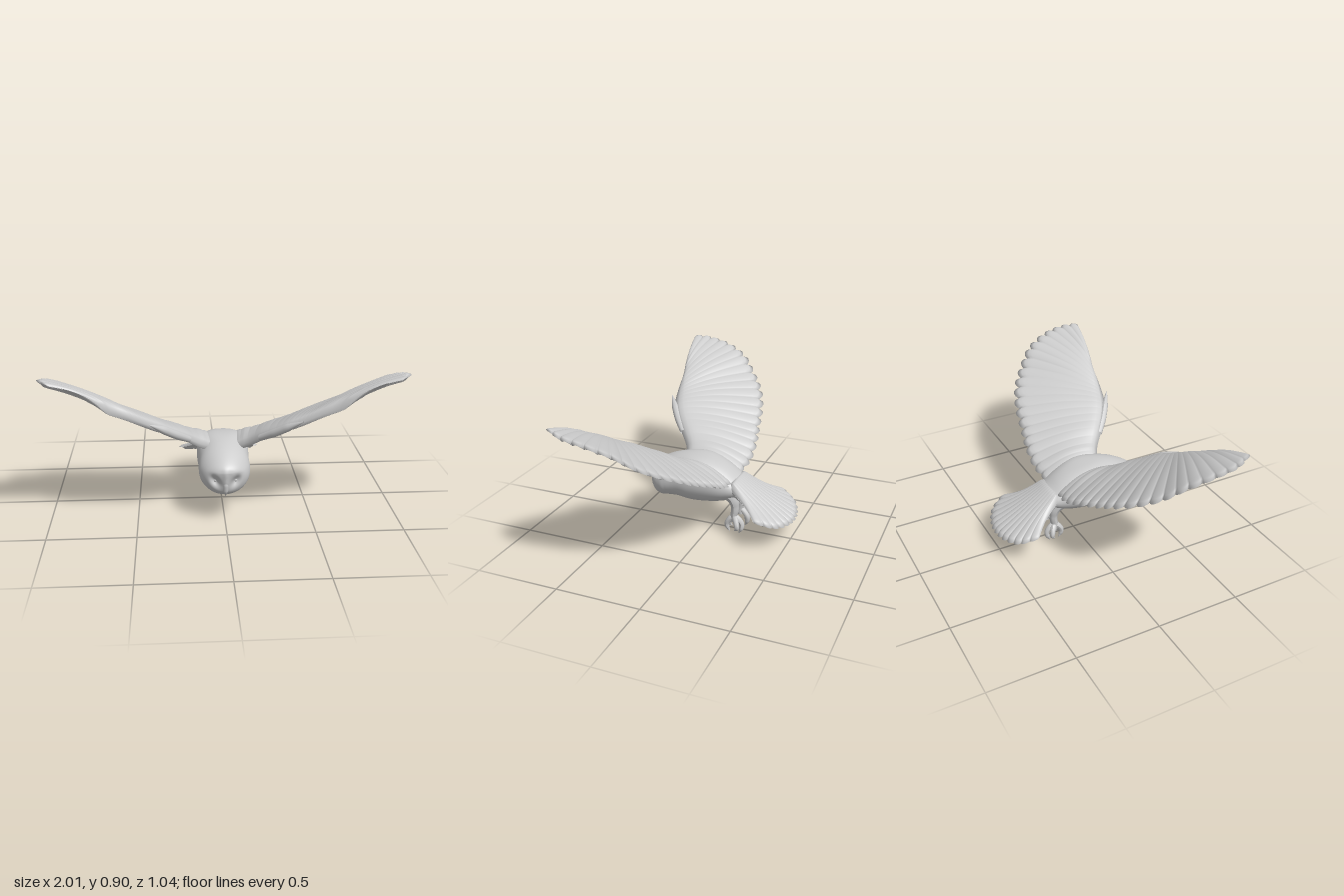
import * as THREE from 'three';

const material = new THREE.MeshStandardMaterial({ color: 0xcccccc, side: THREE.DoubleSide });
const V = (p) => new THREE.Vector3(...p);
const curve = (pts) => new THREE.CatmullRomCurve3(pts.map(V));

function part(name, geometry) {
  const m = new THREE.Mesh(geometry, material);
  m.name = name;
  return m;
}

// Smooth skin over a grid of points, closed around v
function skin(nu, nv, point) {
  const pos = [], idx = [];
  for (let i = 0; i <= nu; i++) {
    for (let j = 0; j < nv; j++) {
      pos.push(...point(i / nu, j));
      if (i === nu) continue;
      const k = (j + 1) % nv, a = i * nv, b = a + nv;
      idx.push(a + j, b + j, a + k, b + j, b + k, a + k);
    }
  }
  const g = new THREE.BufferGeometry();
  g.setAttribute('position', new THREE.Float32BufferAttribute(pos, 3));
  g.setIndex(idx);
  g.computeVertexNormals();
  return g;
}

// Mirror a geometry across x and restore its winding
function mirror(geometry) {
  const g = geometry.clone().scale(-1, 1, 1);
  const ix = g.index.array;
  for (let i = 0; i < ix.length; i += 3) [ix[i], ix[i + 1]] = [ix[i + 1], ix[i]];
  g.computeVertexNormals();
  return g;
}

// Fan of merged feathers running from the root curve to the tip curve
function featherFan({ roots, tips, feathers, reach = 1, thick, topShare = 1, scallop, ripple, camber = 0, shoulder = 0, waist = 0 }) {
  const A = curve(roots), B = curve(tips), nt = 20;
  return skin(feathers * 12, nt * 2, (u, j) => {
    const top = j <= nt;
    const t = (top ? j : 2 * nt - j) / nt;
    const s = Math.pow(Math.abs(Math.sin(Math.PI * feathers * u)), 0.6);
    const r = t * reach * (1 - scallop * (1 - s) * t * t);
    const p = A.getPoint(u).lerp(B.getPoint(u), r);
    p.x *= 1 - waist * Math.sin(Math.PI * r);
    const lead = Math.sqrt(1 - (1 - Math.min(t / 0.15, 1)) ** 2);
    const trail = Math.sqrt(1 - Math.max(0, (t - 0.9) / 0.1) ** 2);
    const side = Math.sqrt(Math.min(1, 14 * Math.min(u, 1 - u)));
    const h = THREE.MathUtils.lerp(thick[0], thick[1], Math.sqrt(t)) * lead * trail * side / 2;
    const y = p.y + camber * Math.min(1, 5 * u) * Math.sin(Math.PI * Math.pow(r, 0.75));
    const wave = ripple * t * (s - 0.5);
    // The upper side is smoother and swells where it meets the back
    if (top) return [p.x, y + 0.5 * wave + h * topShare + shoulder * Math.exp(-((u / 0.14) ** 2)) * Math.sin(Math.PI * r), p.z];
    return [p.x, y + 1.2 * wave - h, p.z];
  });
}

// Tube whose radius follows a list of values
function limb(pts, radii) {
  const c = curve(pts), n = 20, sides = 10;
  const g = new THREE.TubeGeometry(c, n, 1, sides);
  const pos = g.attributes.position, v = new THREE.Vector3();
  for (let i = 0; i <= n; i++) {
    const o = c.getPointAt(i / n), f = (i / n) * (radii.length - 1);
    const k = Math.min(Math.floor(f), radii.length - 2);
    const r = THREE.MathUtils.lerp(radii[k], radii[k + 1], f - k);
    for (let j = 0; j <= sides; j++) {
      const q = i * (sides + 1) + j;
      v.fromBufferAttribute(pos, q).sub(o).multiplyScalar(r).add(o);
      pos.setXYZ(q, v.x, v.y, v.z);
    }
  }
  g.computeVertexNormals();
  return g;
}

function createBody() {
  // z, top, bottom, half width from face to rump
  const rings = [
    [0.403, 0.295, 0.285, 0.001], [0.404, 0.32, 0.255, 0.034], [0.402, 0.34, 0.225, 0.066],
    [0.394, 0.357, 0.2, 0.098], [0.376, 0.374, 0.18, 0.125], [0.335, 0.4, 0.17, 0.142],
    [0.27, 0.431, 0.174, 0.147], [0.2, 0.452, 0.175, 0.146], [0.12, 0.462, 0.165, 0.15],
    [0.03, 0.456, 0.171, 0.15], [-0.05, 0.433, 0.185, 0.144], [-0.11, 0.402, 0.202, 0.131],
    [-0.16, 0.365, 0.226, 0.115], [-0.2, 0.335, 0.258, 0.095], [-0.25, 0.285, 0.258, 0.06],
    [-0.28, 0.265, 0.26, 0.001]];
  const profile = curve(rings.map(([z, t, b]) => [z, t, b]));
  const width = curve(rings.map(([z, , , w]) => [z, w, 0]));
  return skin(110, 56, (u, j) => {
    const a = (j / 56) * Math.PI * 2, sin = Math.sin(a), cos = Math.cos(a);
    const p = profile.getPoint(u), w = Math.max(width.getPoint(u).y, 0.001);
    // Squarer shoulders between the wings
    const square = sin > 0 ? 1 - 0.35 * Math.exp(-(((p.x - 0.06) / 0.12) ** 2)) : 1;
    const x = Math.sign(cos) * Math.pow(Math.abs(cos), square) * w;
    const y = (p.y + p.z) / 2 + Math.sign(sin) * Math.pow(Math.abs(sin), square) * (p.y - p.z) / 2;
    let z = p.x;
    // Round the face sideways and lean its lower half back
    const face = THREE.MathUtils.smoothstep(z, 0.22, 0.38);
    z -= face * (2 * x * x + 0.2 * Math.max(0, 0.33 - y));
    // Eye sockets slanting toward the beak, and the ridge between them
    const ex = Math.abs(x) - 0.058 - (y - 0.275) * 0.35;
    z -= face * 0.026 * Math.exp(-((ex / 0.024) ** 2) - ((y - 0.275) / 0.034) ** 2);
    z += face * 0.008 * Math.exp(-((x / 0.018) ** 2) - ((y - 0.28) / 0.07) ** 2);
    return [x, y, z];
  });
}

export function createModel() {
  const model = new THREE.Group();
  model.name = 'flyingOwl';

  // Body and beak
  model.add(part('body', createBody()));
  model.add(part('beak', limb(
    [[0, 0.29, 0.385], [0, 0.245, 0.383], [0, 0.21, 0.377], [0, 0.178, 0.364]],
    [0.01, 0.016, 0.014, 0.001])));

  // Tail
  model.add(part('tail', featherFan({
    roots: [[-0.1, 0.315, -0.14], [-0.05, 0.332, -0.14], [0, 0.338, -0.14], [0.05, 0.332, -0.14], [0.1, 0.315, -0.14]],
    tips: [[-0.26, 0.198, -0.36], [-0.2, 0.156, -0.46], [-0.1, 0.137, -0.51], [0, 0.131, -0.525],
      [0.1, 0.137, -0.51], [0.2, 0.156, -0.46], [0.26, 0.198, -0.36]],
    feathers: 13, thick: [0.11, 0.028], scallop: 0.045, ripple: 0.012, waist: 0.12 })));

  // Wing: fan lines from arm to trailing edge, shoulder to wing tip
  const roots = [[0.05, 0.405, 0.19], [0.13, 0.445, 0.235], [0.2, 0.5, 0.3], [0.27, 0.55, 0.36],
    [0.33, 0.59, 0.4], [0.38, 0.615, 0.42], [0.42, 0.635, 0.43], [0.46, 0.655, 0.438],
    [0.52, 0.685, 0.448], [0.6, 0.72, 0.46], [0.66, 0.75, 0.474]];
  const tips = [[0.07, 0.335, -0.15], [0.21, 0.365, -0.168], [0.35, 0.428, -0.158], [0.48, 0.486, -0.13],
    [0.62, 0.557, -0.1], [0.76, 0.635, -0.04], [0.87, 0.712, 0.05], [0.95, 0.8, 0.15],
    [0.995, 0.855, 0.28], [1.0, 0.885, 0.41], [0.95, 0.905, 0.52]];
  const rightSide = new THREE.Group(), leftSide = new THREE.Group();
  rightSide.name = 'rightSide';
  leftSide.name = 'leftSide';
  const addPair = (name, g) => {
    leftSide.add(part(name, g));
    rightSide.add(part(name, mirror(g)));
  };
  addPair('flightFeathers', featherFan({ roots, tips, feathers: 20,
    thick: [0.064, 0.028], scallop: 0.06, ripple: 0.014, camber: 0.03, shoulder: 0.05 }));
  // Coverts lie on the underside only
  addPair('longCoverts', featherFan({ roots, tips, feathers: 20, reach: 0.68,
    thick: [0.068, 0.04], topShare: 0.2, scallop: 0.06, ripple: 0.006, camber: 0.03 }));
  addPair('shortCoverts', featherFan({ roots, tips, feathers: 17, reach: 0.36,
    thick: [0.07, 0.05], topShare: 0.2, scallop: 0.08, ripple: 0.004, camber: 0.03 }));
  addPair('thumbFeather', limb(
    [[0.2, 0.495, 0.285], [0.28, 0.552, 0.355], [0.35, 0.603, 0.408], [0.413, 0.645, 0.455]],
    [0.018, 0.023, 0.022, 0.003]));

  // Eyes
  addPair('eye', new THREE.SphereGeometry(0.014, 16, 12).translate(0.057, 0.272, 0.349));

  // Legs, toes and claws
  addPair('leg', limb(
    [[0.06, 0.27, -0.12], [0.058, 0.22, -0.155], [0.056, 0.16, -0.164], [0.056, 0.12, -0.158], [0.056, 0.08, -0.16]],
    [0.052, 0.036, 0.025, 0.022, 0.02]));
  const toes = [[0.034, -0.12, 0.022, 0.026], [0.062, -0.117, 0.058, 0.008],
    [0.092, -0.188, 0.088, 0.03], [0.05, -0.205, 0.055, 0.003]];
  for (const [x, z, tipX, tipY] of toes) {
    const back = z < -0.155 ? -1 : 1;
    addPair('toe', limb(
      [[0.056, 0.112, -0.16], [(x + 0.056) / 2, 0.098, (z - 0.16) / 2], [x, 0.066, z],
        [(x + tipX) / 2, 0.037 + tipY / 3, z], [tipX, tipY, z - back * 0.016]],
      [0.018, 0.018, 0.016, 0.014, 0.002]));
  }

  model.add(leftSide, rightSide);
  return model;
}
